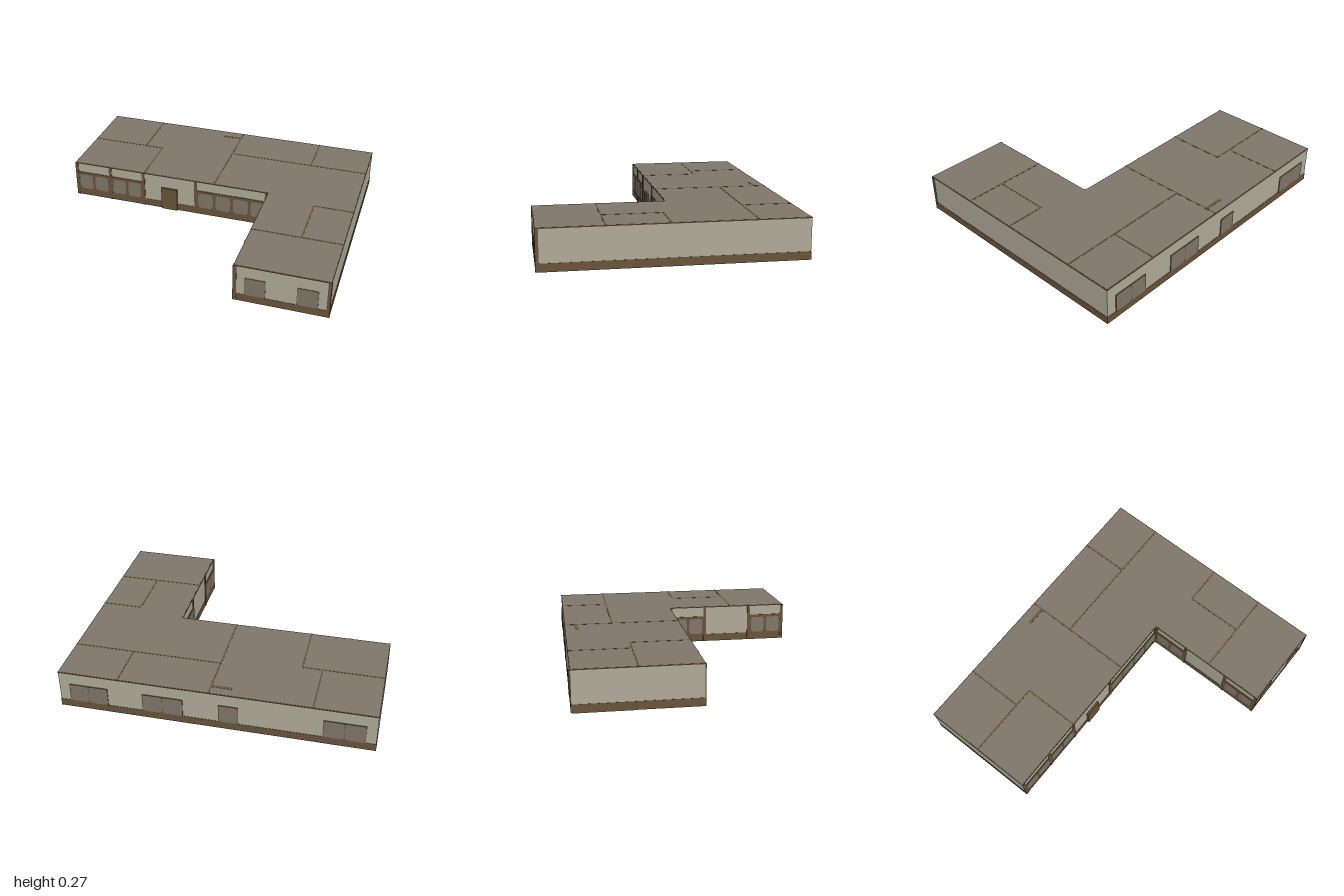
import * as THREE from 'three';

const mat = (name, color) => {
  const m = new THREE.MeshStandardMaterial({ color });
  m.name = name;
  return m;
};

export function createModel() {
  const plaster = mat('plaster', 0xb0ab9a);
  const wood = mat('brown wood', 0x69543a);
  const slate = mat('slate grey', 0x80776a);

  const model = new THREE.Group();
  model.name = 'building';

  const add = (parent, name, geometry, material, x = 0, y = 0, z = 0) => {
    const mesh = new THREE.Mesh(geometry, material);
    mesh.name = name;
    mesh.position.set(x, y, z);
    parent.add(mesh);
    return mesh;
  };

  // L-shaped slab between two heights, optionally inset from the outline
  const slab = (name, y0, y1, inset, material) => {
    const i = inset;
    const outline = [[-1 + i, -0.81 + i], [1 - i, -0.81 + i], [1 - i, 0.81 - i],
      [0.41 + i, 0.81 - i], [0.41 + i, -0.035 - i], [-1 + i, -0.035 - i]];
    const shape = new THREE.Shape(outline.map(([x, z]) => new THREE.Vector2(x, -z)));
    const g = new THREE.ExtrudeGeometry(shape, { depth: y1 - y0, bevelEnabled: false });
    g.rotateX(-Math.PI / 2);
    return add(model, name, g, material, 0, y0, 0);
  };
  slab('floor', 0.012, 0.03, 0.004, slate);
  slab('plinth', 0.015, 0.065, 0, wood);
  slab('walls', 0.065, 0.268, 0.002, plaster);
  slab('roofEdge', 0.266, 0.27, 0, wood);
  slab('roof', 0.267, 0.2715, 0.005, slate);

  // Pale floor of the corner room, and the small feet below
  add(model, 'cornerRoomFloor', new THREE.BoxGeometry(0.37, 0.004, 0.38), plaster, -0.81, 0.012, -0.615);
  for (const x of [-0.095, 0.02]) {
    add(model, 'foot', new THREE.BoxGeometry(0.01, 0.014, 0.012), wood, x, 0.007, -0.465);
  }

  // Partition lines on the roof: x0, z0, x1, z1, width
  const lines = [
    [-0.61, -0.81, -0.61, -0.42], [-1, -0.42, -0.48, -0.42], [-0.48, -0.42, -0.48, -0.035],
    [0.03, -0.81, 0.03, -0.035], [0.03, -0.49, 1, -0.49], [0.61, -0.81, 0.61, -0.49],
    [0.41, 0.41, 1, 0.41], [0.735, 0.03, 0.735, 0.41], [0.735, 0.03, 1, 0.03],
    [-0.105, -0.735, 0.03, -0.735, 0.02],
  ];
  for (const [x0, z0, x1, z1, w = 0.01] of lines) {
    add(model, 'partitionTop', new THREE.BoxGeometry(Math.max(x1 - x0, w), 0.003, Math.max(z1 - z0, w)),
      wood, (x0 + x1) / 2, 0.271, (z0 + z1) / 2);
  }

  // A facade has its own axes: x along the wall, y up, z outwards
  const facade = (name, x, z, turn) => {
    const g = new THREE.Group();
    g.name = name;
    g.position.set(x, 0, z);
    g.rotation.y = turn;
    model.add(g);
    return g;
  };

  const plate = (f, name, x0, x1, y0, y1, t, material) =>
    add(f, name, new THREE.BoxGeometry(x1 - x0, y1 - y0, t), material, (x0 + x1) / 2, (y0 + y1) / 2, 0);

  const post = (f, x) => plate(f, 'post', x - 0.01, x + 0.01, 0.015, 0.27, 0.006, wood);

  // Pane with softly bulging sides
  const pane = (f, x0, x1, y0, y1) => {
    const s = new THREE.Shape();
    const r = Math.min(0.022, (x1 - x0) / 3);
    s.moveTo(x0 + r, y0);
    s.lineTo(x1 - r, y0);
    s.quadraticCurveTo(x1 - 0.004, y0, x1 - 0.003, y0 + r);
    s.quadraticCurveTo(x1 + 0.002, (y0 + y1) / 2, x1 - 0.004, y1 - r / 2);
    s.quadraticCurveTo(x1 - 0.004, y1, x1 - r, y1);
    s.lineTo(x0 + r, y1);
    s.quadraticCurveTo(x0 + 0.004, y1, x0 + 0.004, y1 - r / 2);
    s.quadraticCurveTo(x0 - 0.002, (y0 + y1) / 2, x0 + 0.003, y0 + r);
    s.quadraticCurveTo(x0 + 0.004, y0, x0 + r, y0);
    add(f, 'windowPane', new THREE.ShapeGeometry(s, 5), slate, 0, 0, 0.0045);
  };

  // Brown band with a row of panes
  const band = (f, x0, x1, count, gap = 0.016) => {
    plate(f, 'windowBand', x0, x1, 0.06, 0.2, 0.005, wood);
    const w = (x1 - x0) / count;
    for (let i = 0; i < count; i++) {
      pane(f, x0 + i * w + gap / 2, x0 + (i + 1) * w - gap / 2, 0.07, 0.182);
    }
  };

  // Single window whose glass nearly fills the opening
  const punched = (f, x0, x1) => {
    plate(f, 'windowFrame', x0, x1, 0.06, 0.19, 0.005, wood);
    const count = x1 - x0 > 0.2 ? 2 : 1;
    const w = (x1 - x0) / count;
    for (let i = 0; i < count; i++) pane(f, x0 + i * w, x0 + (i + 1) * w, 0.068, 0.187);
  };

  // Front of the long wing, with the door
  const front = facade('frontFacade', 0, -0.035, 0);
  [-0.99, -0.735, -0.485, -0.1, 0.4].forEach((x) => post(front, x));
  band(front, -0.98, -0.745, 2);
  band(front, -0.725, -0.495, 2);
  band(front, -0.09, 0.41, 4);
  const door = plate(front, 'door', -0.35, -0.235, 0.015, 0.18, 0.014, wood);
  door.position.z = 0.004;

  // End of the short wing
  const end = facade('wingEnd', 0, 0.81, 0);
  [0.42, 0.99].forEach((x) => post(end, x));
  end.position.z = 0.808;
  punched(end, 0.48, 0.61);
  punched(end, 0.8, 0.93);

  // Inner side of the short wing
  const inner = facade('innerFacade', 0.41, 0, -Math.PI / 2);
  [-0.03, 0.22, 0.55, 0.8].forEach((z) => post(inner, z));
  band(inner, -0.02, 0.21, 2);
  band(inner, 0.56, 0.79, 2);

  // Back wall
  const back = facade('backFacade', 0, -0.81, Math.PI);
  for (const [a, b] of [[-0.93, -0.68], [-0.455, -0.195], [0.03, 0.155], [0.675, 0.935]]) punched(back, a, b);

  // Corner post on the outer side wall
  const side = facade('sideFacade', 0.998, 0, Math.PI / 2);
  post(side, -0.8);

  return model;
}
